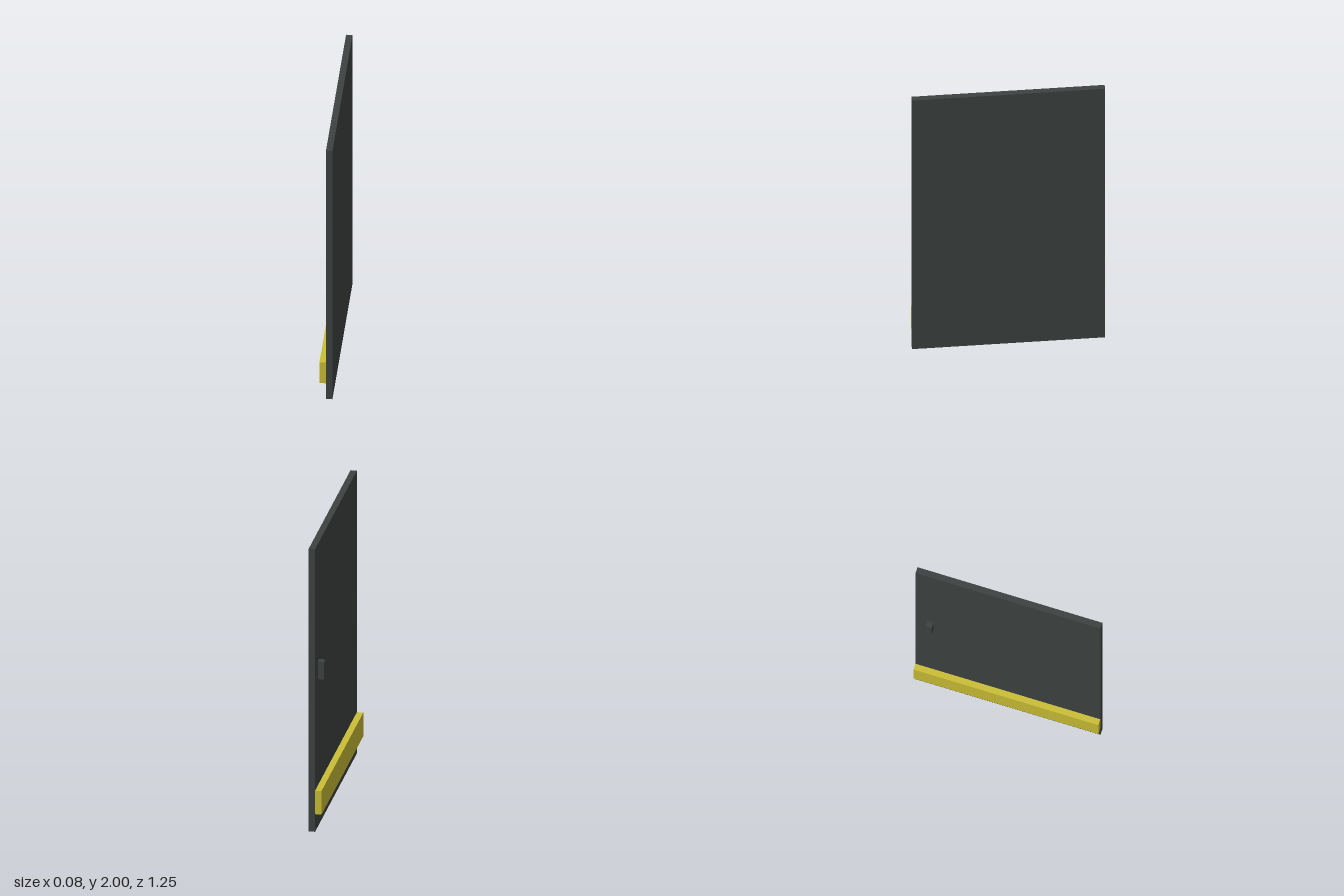
import * as THREE from 'three';

export function createModel() {
  const model = new THREE.Group();
  model.name = 'door';

  const darkGrey = new THREE.MeshStandardMaterial({ color: 0x3d4342 });
  darkGrey.name = 'dark grey';
  const yellow = new THREE.MeshStandardMaterial({ color: 0xcabe36 });
  yellow.name = 'yellow';

  // Adds a box given its lower and upper corners
  function addBox(name, material, min, max) {
    const size = max.map((v, i) => v - min[i]);
    const mesh = new THREE.Mesh(new THREE.BoxGeometry(...size), material);
    mesh.position.set(...max.map((v, i) => (v + min[i]) / 2));
    mesh.name = name;
    model.add(mesh);
  }

  // Door leaf
  addBox('doorPanel', darkGrey, [0, 0, -0.625], [0.042, 2, 0.625]);
  // Kick bar across the full width
  addBox('kickBar', yellow, [-0.042, 0.125, -0.625], [0, 0.292, 0.625]);
  // Pull handle near the back edge
  addBox('handle', darkGrey, [-0.042, 1.045, -0.544], [0, 1.17, -0.503]);

  return model;
}
